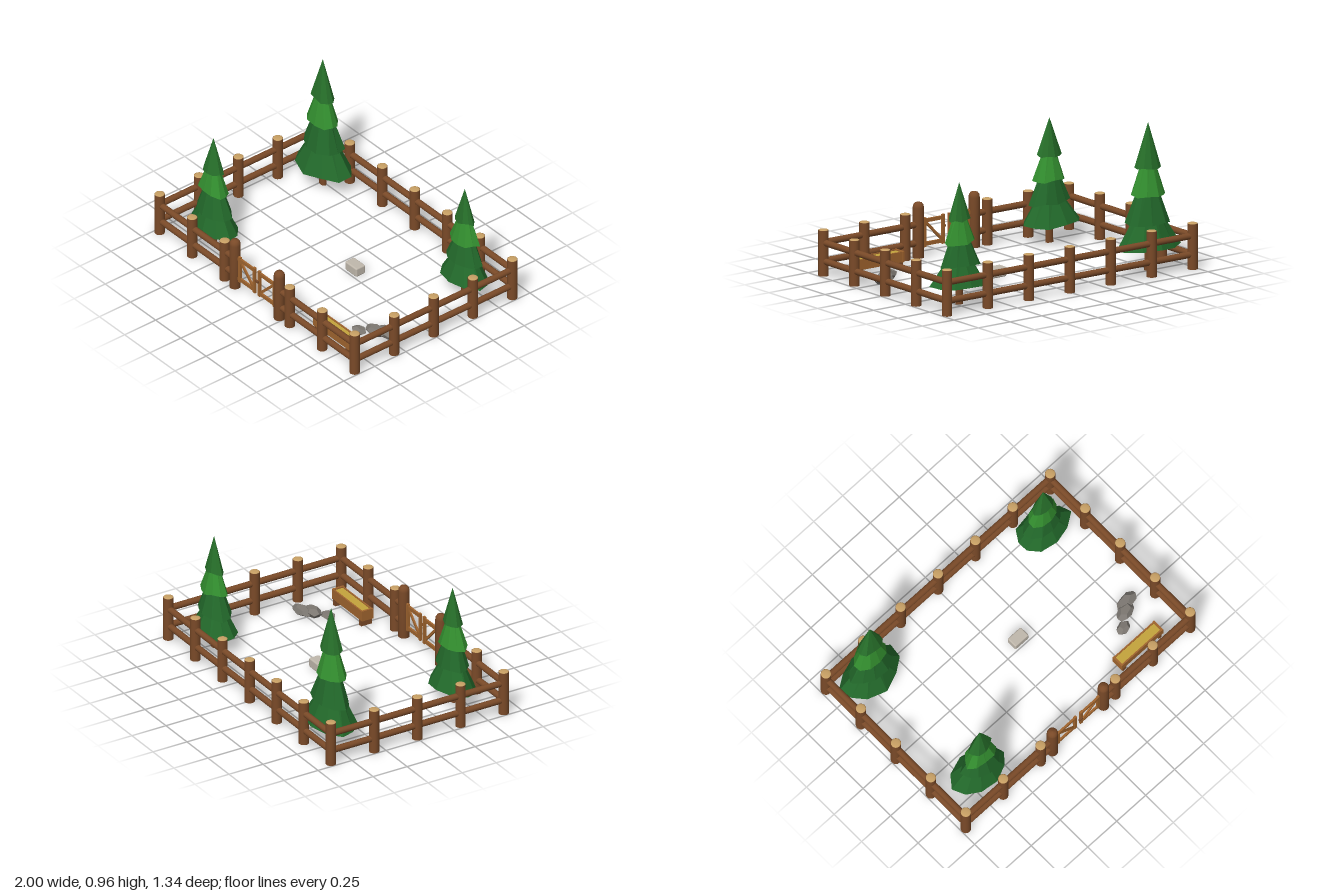
import * as THREE from 'three';
import { RoundedBoxGeometry } from 'three/addons/geometries/RoundedBoxGeometry.js';

const mat = (name, color, flatShading = false) => {
  const m = new THREE.MeshStandardMaterial({ color, flatShading });
  m.name = name;
  return m;
};

export function createModel() {
  const root = new THREE.Group();
  root.name = 'paddock';
  const wood = mat('fence wood', 0x7a4a28);
  const cut = mat('cut wood', 0xc8a064);
  const plank = mat('gate wood', 0xa0642e);
  const hay = mat('hay', 0xc4a43c);
  const topGreen = mat('top foliage', 0x27702a, true);
  const lightGreen = mat('light foliage', 0x338f2f, true);
  const darkGreen = mat('dark foliage', 0x22682a, true);
  const stone = mat('stone', 0x7d7872, true);
  const salt = mat('salt', 0xc0b8ac);

  let seed = 7;
  const rand = () => (seed = (seed * 16807) % 2147483647) / 2147483647;
  const add = (parent, name, geo, material, x = 0, y = 0, z = 0) => {
    const m = new THREE.Mesh(geo, material);
    m.name = name;
    m.position.set(x, y, z);
    parent.add(m);
    return m;
  };
  const group = (name, parent = root) => {
    const g = new THREE.Group();
    g.name = name;
    parent.add(g);
    return g;
  };

  // Fence posts with pale, slightly domed tops
  const fence = group('fence');
  const X = 0.967, Z = 0.635, R = 0.033, H = 0.294;
  const postGeo = new THREE.CylinderGeometry(R, R, H, 16);
  const capGeo = new THREE.SphereGeometry(R * 0.97, 16, 5, 0, Math.PI * 2, 0, Math.PI / 2).scale(1, 0.2, 1);
  const post = (x, z) => {
    add(fence, 'post', postGeo, wood, x, H / 2, z);
    add(fence, 'postCap', capGeo, cut, x, H, z);
  };
  for (let i = 0; i <= 6; i++) {
    const x = -X + (i * X) / 3;
    post(x, -Z);
    if (i !== 3) post(x, Z);
  }
  for (const x of [-X, X]) for (const z of [-Z / 2, 0, Z / 2]) post(x, z);

  // Two round rails along every side, open at the gate
  const rail = (x0, z0, x1, z1, y) => {
    const len = Math.hypot(x1 - x0, z1 - z0);
    const geo = new THREE.CylinderGeometry(0.021, 0.021, len, 12).rotateZ(Math.PI / 2);
    const m = add(fence, 'rail', geo, wood, (x0 + x1) / 2, y, (z0 + z1) / 2);
    m.rotation.y = -Math.atan2(z1 - z0, x1 - x0);
  };
  for (const y of [0.094, 0.214]) {
    rail(-X, -Z, X, -Z, y);
    for (const s of [-1, 1]) {
      rail(s * X, -Z, s * X, Z, y);
      rail(s * 0.22, Z, s * X, Z, y);
    }
  }

  // Gate: rounded posts and two braced leaves
  const gate = group('gate');
  const gatePostGeo = new THREE.LatheGeometry(
    [[0, 0], [0.036, 0], [0.036, 0.322], [0.033, 0.34], [0.023, 0.354], [0, 0.36]].map(p => new THREE.Vector2(...p)), 16);
  for (const s of [-1, 1]) {
    add(gate, 'gatePost', gatePostGeo, wood, s * 0.22, 0, Z);
    const leaf = group('gateLeaf', gate);
    const bar = (name, x0, y0, x1, y1, w, d) => {
      const geo = new THREE.BoxGeometry(Math.hypot(x1 - x0, y1 - y0), w, d);
      const m = add(leaf, name, geo, plank, (s * (x0 + x1)) / 2, (y0 + y1) / 2, Z);
      m.rotation.z = Math.atan2(y1 - y0, s * (x1 - x0));
    };
    bar('outerStile', 0.172, 0.06, 0.172, 0.25, 0.02, 0.016);
    bar('innerStile', 0.025, 0.06, 0.025, 0.25, 0.02, 0.016);
    bar('topBar', 0.015, 0.23, 0.19, 0.23, 0.024, 0.013);
    bar('bottomBar', 0.015, 0.08, 0.19, 0.08, 0.024, 0.013);
    bar('brace', 0.03, 0.085, 0.168, 0.225, 0.017, 0.011);
  }
  add(gate, 'latch', new THREE.BoxGeometry(0.03, 0.014, 0.012), wood, 0.012, 0.17, Z + 0.012);

  // Spruces: four ragged tiers [rim height, top height, rim radius, top radius]
  const tiers = [
    [0.155, 0.42, 0.205, 0.06, darkGreen],
    [0.32, 0.60, 0.145, 0.05, darkGreen],
    [0.51, 0.78, 0.118, 0.03, lightGreen],
    [0.695, 1, 0.082, 0, topGreen],
  ];
  const tree = (x, z, h, width) => {
    const g = group('spruce');
    g.position.set(x, 0, z);
    add(g, 'trunk', new THREE.CylinderGeometry(0.024, 0.029, 0.3, 8).scale(1, 1, 0.65), wood, 0, 0.15, 0);
    for (const [y0, y1, r0, r1, m] of tiers) {
      const n = 10, turn = rand() * 2;
      const rim = Array.from({ length: n }, () => [0.9 + rand() * 0.2, (rand() - 0.5) * 0.025]);
      const geo = new THREE.CylinderGeometry(r1 * width, r0 * width, (y1 - y0) * h, n);
      geo.translate(0, ((y0 + y1) / 2) * h, 0);
      const p = geo.attributes.position, mid = ((y0 + y1) / 2) * h;
      for (let i = 0; i < p.count; i++) {
        if (p.getY(i) > mid) continue;
        const px = p.getX(i), pz = p.getZ(i);
        // The underside's centre is raised to hollow the tier
        if (Math.hypot(px, pz) < 0.001) { p.setY(i, p.getY(i) + 0.02); continue; }
        const k = Math.round((Math.atan2(px, pz) / (Math.PI * 2)) * n + n) % n;
        p.setXYZ(i, px * rim[k][0], p.getY(i) + rim[k][1], pz * rim[k][0]);
      }
      geo.rotateY(turn).scale(1, 1, 0.65);
      geo.computeVertexNormals();
      add(g, 'foliageTier', geo, m);
    }
  };
  tree(-0.73, -0.487, 0.955, 1.1);
  tree(-0.667, 0.445, 0.805, 1.0);
  tree(0.727, -0.447, 0.785, 0.97);

  // Feeding trough filled with hay
  const trough = group('trough');
  trough.position.set(0.633, 0, 0.513);
  add(trough, 'floor', new THREE.BoxGeometry(0.35, 0.012, 0.07), plank, 0, 0.046, 0);
  add(trough, 'hay', new THREE.BoxGeometry(0.335, 0.05, 0.062), hay, 0, 0.077, 0);
  for (const s of [-1, 1]) {
    add(trough, 'side', new THREE.BoxGeometry(0.355, 0.068, 0.01), plank, 0, 0.074, s * 0.035);
    add(trough, 'end', new THREE.BoxGeometry(0.014, 0.07, 0.084), plank, s * 0.172, 0.075, 0);
    add(trough, 'leg', new THREE.BoxGeometry(0.025, 0.042, 0.08), wood, s * 0.155, 0.021, 0);
  }

  // Salt block
  add(root, 'saltBlock', new RoundedBoxGeometry(0.115, 0.064, 0.075, 2, 0.01), salt, 0.132, 0.033, -0.047);

  // Rock pile
  const rocks = group('rocks');
  for (const [x, z, rx, ry, rz, turn] of [
    [0.66, 0.352, 0.056, 0.026, 0.04, 0.3],
    [0.74, 0.285, 0.074, 0.038, 0.046, 0.2],
    [0.795, 0.24, 0.084, 0.034, 0.047, 0.1],
  ]) {
    const geo = new THREE.DodecahedronGeometry(1, 0).rotateX(turn * 3).rotateY(turn * 7).scale(rx, ry, rz);
    add(rocks, 'rock', geo, stone, x, ry * 0.92, z).rotation.y = turn;
  }
  return root;
}
